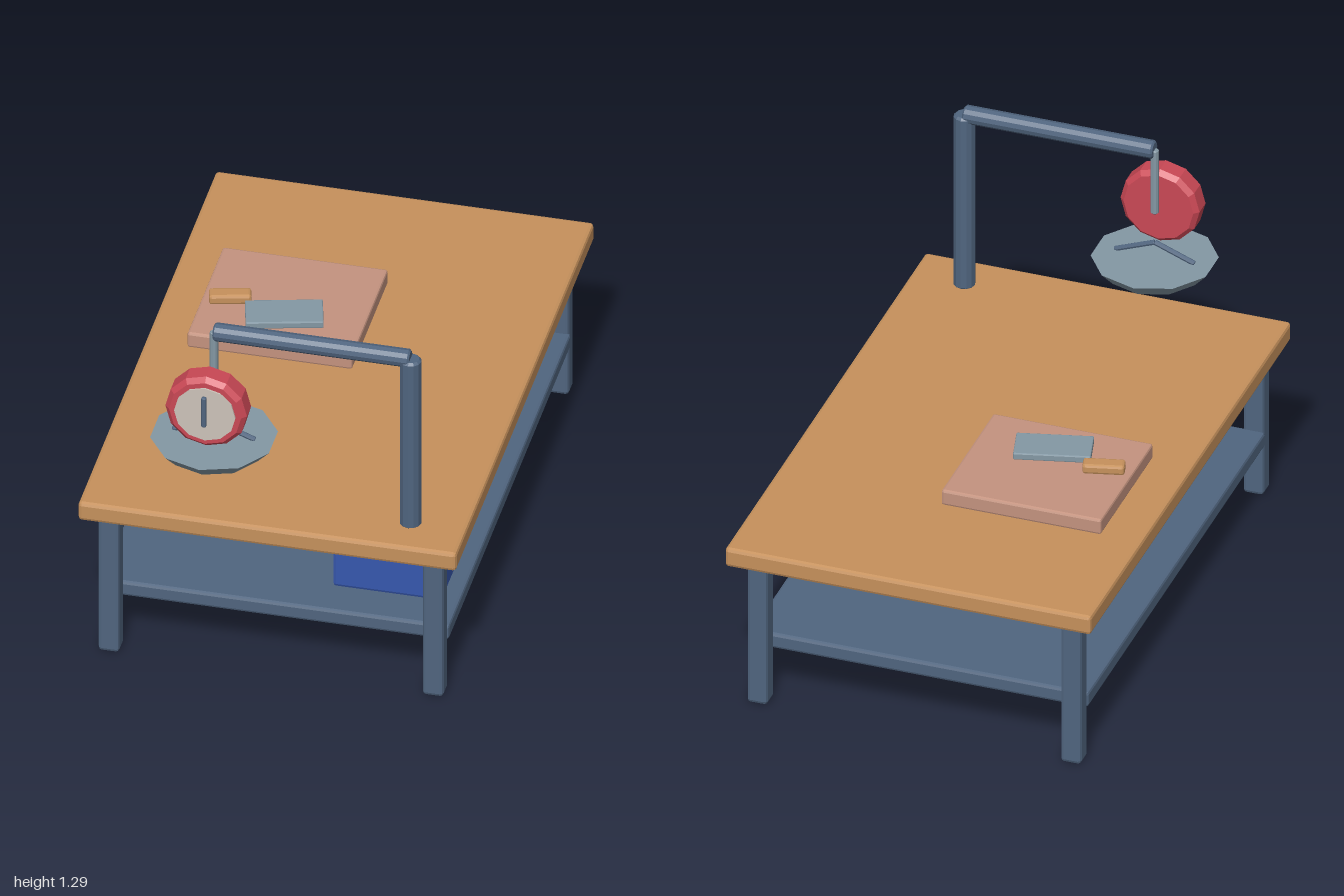
import * as THREE from 'three';
import { RoundedBoxGeometry } from 'three/addons/geometries/RoundedBoxGeometry.js';

export function createModel() {
  const root = new THREE.Group();
  root.name = 'marketTable';

  const mat = (name, color) => {
    const m = new THREE.MeshStandardMaterial({ color });
    m.name = name;
    return m;
  };
  const wood = mat('wood', 0xc6915c);
  const steel = mat('darkSteel', 0x50657f);
  const metal = mat('lightMetal', 0x8498a4);
  const blue = mat('blue', 0x3657ae);
  const board = mat('boardPink', 0xc4937f);
  const red = mat('red', 0xca4855);
  const cream = mat('cream', 0xcdc3b9);

  const add = (name, geometry, material, x, y, z) => {
    const mesh = new THREE.Mesh(geometry, material);
    mesh.name = name;
    mesh.position.set(x, y, z);
    root.add(mesh);
    return mesh;
  };
  const faceted = (g) => {
    const flat = g.index ? g.toNonIndexed() : g;
    flat.computeVertexNormals();
    return flat;
  };
  // Box with chamfered edges, given by its extents
  const box = (name, material, [x0, x1], [y0, y1], [z0, z1], bevel) =>
    add(name, faceted(new RoundedBoxGeometry(x1 - x0, y1 - y0, z1 - z0, 1, bevel)), material,
      (x0 + x1) / 2, (y0 + y1) / 2, (z0 + z1) / 2);
  // Upright faceted cylinder with chamfered rims, centred on its middle
  const drum = (r, h, bevel, sides) => faceted(new THREE.LatheGeometry([
    [0, -h / 2], [r - bevel, -h / 2], [r, -h / 2 + bevel],
    [r, h / 2 - bevel], [r - bevel, h / 2], [0, h / 2],
  ].map(([a, b]) => new THREE.Vector2(a, b)), sides));
  // Rod between two points
  const rod = (name, material, a, b, r, bevel, sides) => {
    const from = new THREE.Vector3(...a), to = new THREE.Vector3(...b);
    const dir = to.clone().sub(from);
    const mid = from.clone().add(to).multiplyScalar(0.5);
    const mesh = add(name, drum(r, dir.length(), bevel, sides), material, mid.x, mid.y, mid.z);
    mesh.quaternion.setFromUnitVectors(new THREE.Vector3(0, 1, 0), dir.normalize());
    return mesh;
  };

  // Table
  box('tableTop', wood, [-0.63, 0.63], [0.54, 0.61], [-1, 0.93], 0.012);
  for (const x of [-0.54, 0.54]) {
    for (const z of [-0.907, 0.845]) {
      box('leg', steel, [x - 0.035, x + 0.035], [0, 0.545], [z - 0.035, z + 0.035], 0.012);
    }
  }
  box('shelf', steel, [-0.58, 0.58], [0.187, 0.243], [-0.885, 0.82], 0.01);
  box('storageBox', blue, [0.16, 0.525], [0.24, 0.475], [0.28, 0.685], 0.012);

  // Cutting board and cleaver
  box('cuttingBoard', board, [-0.49, 0.06], [0.608, 0.665], [-0.51, -0.008], 0.008);
  box('cleaverBlade', metal, [-0.33, -0.077], [0.667, 0.692], [-0.23, -0.1], 0.004).rotation.y = 0.255;
  box('cleaverHandle', wood, [-0.466, -0.328], [0.664, 0.699], [-0.247, -0.194], 0.009).rotation.y = 0.255;

  // Scale stand
  const cx = -0.21, cz = 0.788;
  rod('post', steel, [0.445, 0.605, cz], [0.445, 1.26, cz], 0.036, 0.008, 12);
  rod('arm', steel, [0.445, 1.26, cz], [cx, 1.26, cz], 0.031, 0.006, 12);
  rod('hanger', metal, [cx, 1.26, cz], [cx, 1.02, cz], 0.014, 0.003, 10);

  // Dial
  const dial = add('dialHousing', drum(0.136, 0.09, 0.016, 12), red, cx, 1.02, 0.868);
  dial.rotation.x = Math.PI / 2;
  const face = add('dialFace', faceted(new THREE.CylinderGeometry(0.102, 0.102, 0.008, 12)), cream, cx, 1.02, 0.915);
  face.rotation.x = Math.PI / 2;
  box('needle', steel, [cx - 0.008, cx + 0.008], [0.98, 1.095], [0.922, 0.937], 0.004);

  // Pan and its struts
  for (const side of [-1, 1]) {
    rod('panStrut', steel, [cx, 0.907, cz], [cx + side * 0.137, 0.854, cz], 0.009, 0.002, 8);
  }
  add('pan', faceted(new THREE.CylinderGeometry(0.208, 0.164, 0.048, 10)), metal, cx, 0.829, cz);

  return root;
}
